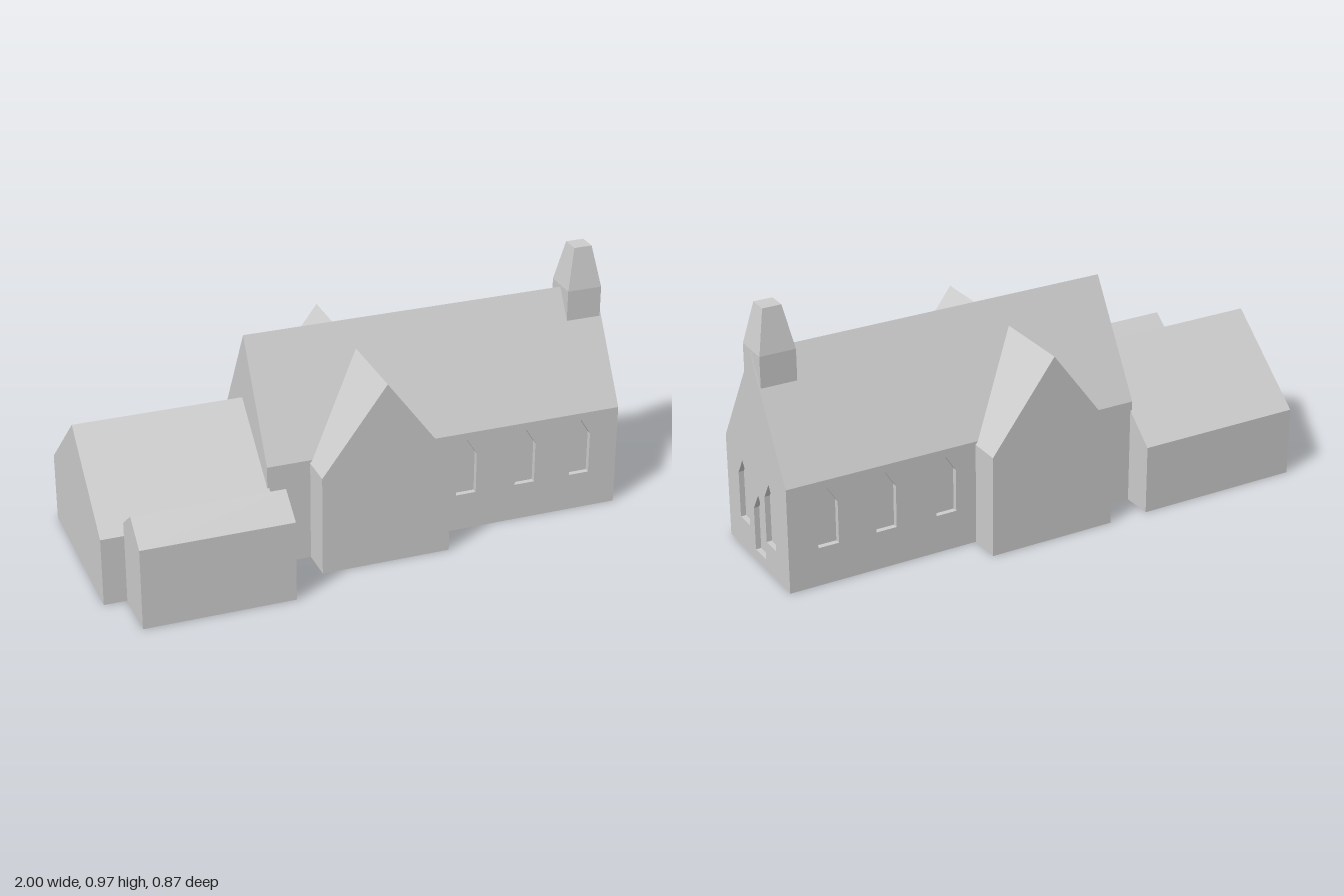
import * as THREE from 'three';

export function createModel() {
  const church = new THREE.Group();
  church.name = 'church';
  const stone = new THREE.MeshStandardMaterial({ color: 0xcccccc });
  stone.name = 'stone';

  const add = (name, geometry) => {
    const mesh = new THREE.Mesh(geometry, stone);
    mesh.name = name;
    church.add(mesh);
    return mesh;
  };
  const shapeOf = (pts) => new THREE.Shape(pts.map(([x, y]) => new THREE.Vector2(x, y)));
  const extrude = (shape, from, to) =>
    new THREE.ExtrudeGeometry(shape, { depth: to - from, bevelEnabled: false }).translate(0, 0, from);
  // Profiles run along x when turned; their horizontal axis is then -z
  const alongX = (shape, from, to) => extrude(shape, from, to).rotateY(Math.PI / 2);
  const gable = (a, b, eave, ridge) =>
    shapeOf([[a, 0], [b, 0], [b, eave], [(a + b) / 2, ridge], [a, eave]]);
  // Pointed window opening
  const lancet = (centre, width, sill, spring, apex) => {
    const w = width / 2;
    return shapeOf([[centre - w, sill], [centre + w, sill], [centre + w, spring],
      [centre, apex], [centre - w, spring]]);
  };

  // Nave: a solid core, set back behind pierced outer walls
  const zBack = -0.315, zFront = 0.174, eave = 0.395, ridge = 0.803;
  const xLeft = -0.373, xRight = 1, d = 0.02;
  const a = -zFront, b = -zBack;
  add('naveCore', alongX(shapeOf([
    [a + d, 0], [b - d, 0], [b - d, eave], [b, eave],
    [(a + b) / 2, ridge], [a, eave], [a + d, eave],
  ]), xLeft, xRight - d));

  // Side walls with three windows each
  for (const [name, z] of [['naveFrontWall', zFront - d], ['naveBackWall', zBack]]) {
    const wall = shapeOf([[xLeft, 0], [xRight - d, 0], [xRight - d, eave], [xLeft, eave]]);
    for (const x of [0.393, 0.628, 0.85]) wall.holes.push(lancet(x, 0.078, 0.145, 0.305, 0.367));
    add(name, extrude(wall, z, z + d));
  }

  // Gable end with a group of three windows
  const end = gable(a, b, eave, ridge);
  end.holes.push(
    lancet(-0.039, 0.077, 0.115, 0.29, 0.352),
    lancet(0.083, 0.085, 0.04, 0.203, 0.27),
    lancet(0.175, 0.077, 0.115, 0.29, 0.352),
  );
  add('naveGableEnd', alongX(end, xRight - d, xRight));

  // Cross wing, annex and its small side room
  add('transept', extrude(gable(-0.212, 0.275, 0.383, 0.71), -0.435, 0.3));
  add('annex', alongX(gable(-0.235, 0.432, 0.26, 0.546), -1, -0.366));
  add('sideRoom', alongX(gable(-0.435, -0.232, 0.309, 0.389), -0.915, -0.357));

  // Bell turret: straight base and tapering top
  const turret = new THREE.Group();
  turret.name = 'bellTurret';
  turret.position.set(0.927, 0, -0.07);
  const base = add('turretBase', new THREE.BoxGeometry(0.134, 0.12, 0.132));
  base.position.y = 0.75;
  const taper = new THREE.CylinderGeometry(0.035 * Math.SQRT2, 0.0665 * Math.SQRT2, 0.156, 4)
    .rotateY(Math.PI / 4).toNonIndexed();
  taper.computeVertexNormals();
  const top = add('turretTop', taper);
  top.position.y = 0.888;
  turret.add(base, top);
  church.add(turret);

  return church;
}
